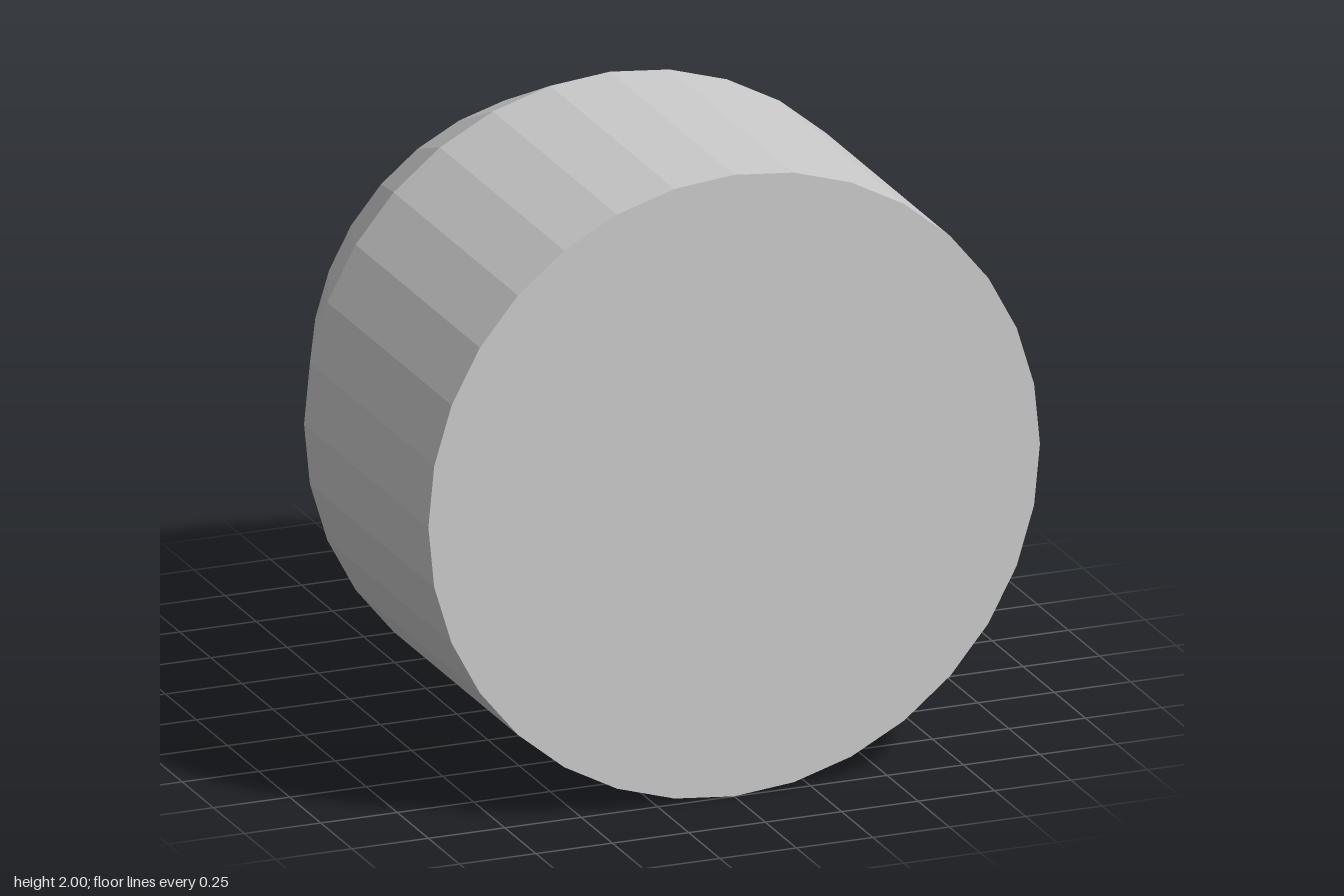
import * as THREE from 'three';

const SIDES = 32;

// Turned part along z: profile of [radius, z], listed from front to back
function turned(name, profile, material) {
  const points = profile.map(([r, z]) => new THREE.Vector2(r, -z));
  const geometry = new THREE.LatheGeometry(points, SIDES);
  geometry.rotateX(-Math.PI / 2);
  geometry.translate(0, 1, 0);
  const mesh = new THREE.Mesh(geometry, material);
  mesh.name = name;
  return mesh;
}

export function createModel() {
  const group = new THREE.Group();
  group.name = 'roundNosedCylinder';
  const material = new THREE.MeshStandardMaterial({ color: 0xcccccc, flatShading: true });

  // Straight barrel with its flat front cap
  group.add(turned('barrel', [[0, 1], [1, 1], [1, 0]], material));

  // Faceted nose tapering to the back
  group.add(turned('nose', [
    [1, 0], [0.785, -0.475], [0.56, -0.72], [0.3, -0.9],
    [0.1, -0.985], [0.04, -0.997], [0, -1],
  ], material));

  return group;
}
